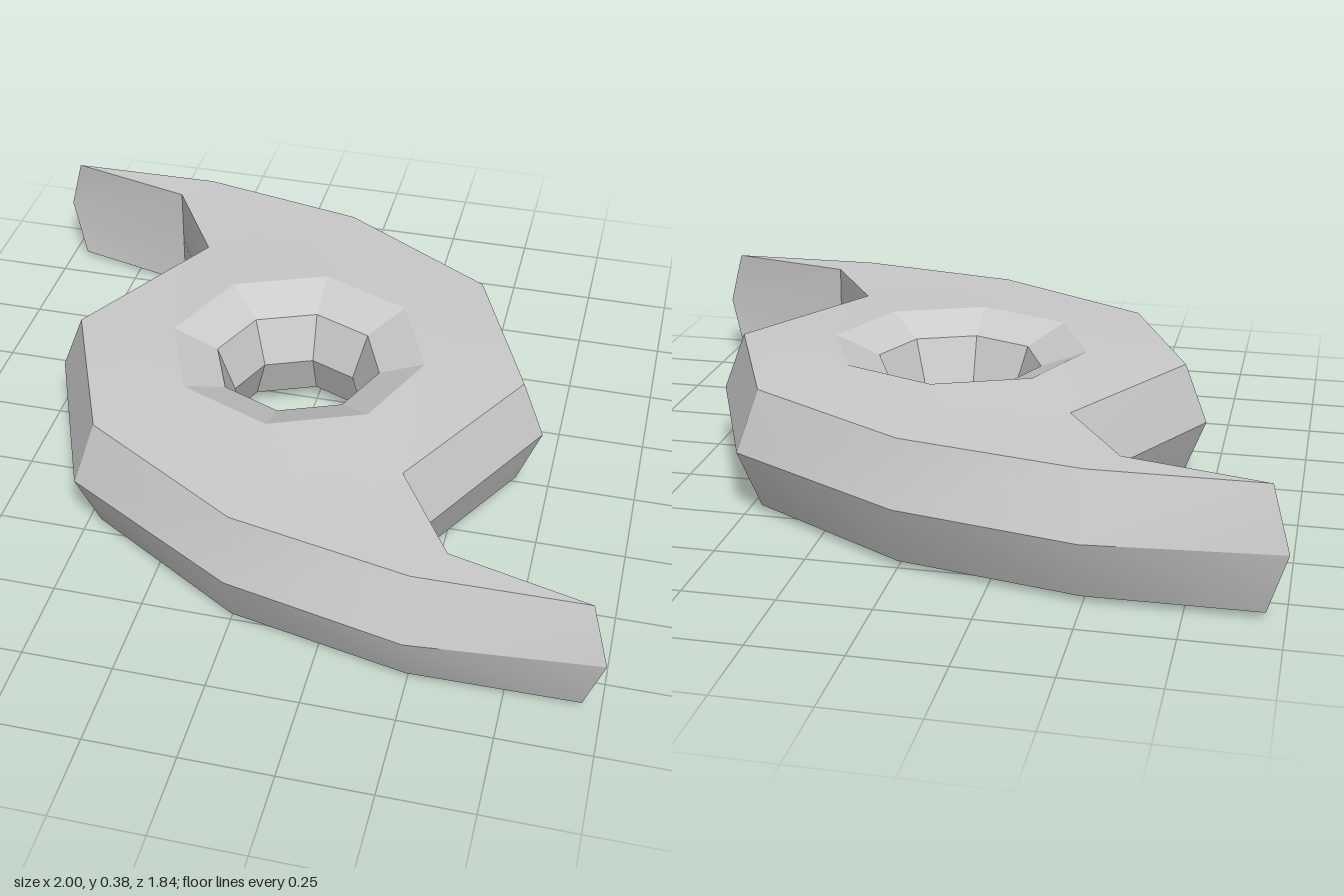
import * as THREE from 'three';
import { toCreasedNormals } from 'three/addons/utils/BufferGeometryUtils.js';

const MID = 0.1875, RIM = 0.17, CROWN = 0.1875;

// Half outlines [x, z], counter-clockwise from above; the other half is a half turn of these.
// Order: side, shoulder, back, hook bend, hook tip, hook inside, notch
const midHalf = [[0.72, 0], [0.51, -0.515], [0, -0.81], [-0.495, -0.92], [-1, -0.875], [-0.57, -0.745], [-0.445, -0.51]];
const rimHalf = [[0.655, 0], [0.46, -0.465], [0, -0.745], [-0.495, -0.85], [-0.95, -0.845], [-0.57, -0.745], [-0.4, -0.465]];

function loop(half, y) {
  const turned = half.map(([x, z]) => [-x, -z]);
  return [...half, ...turned].map(([x, z]) => new THREE.Vector3(x, y, z));
}

function bladeGeometry() {
  const points = [];
  const mid = loop(midHalf, MID);

  for (const s of [1, -1]) {
    // s = 1 builds the upper half, s = -1 the lower one with reversed corners
    const tri = (a, b, c) => points.push(...(s > 0 ? [a, b, c] : [a, c, b]));
    const quad = (a, b, c, d) => { tri(a, b, c); tri(a, c, d); };
    const rim = loop(rimHalf, MID + s * RIM);
    const n = rim.length;
    const ring = Array.from({ length: 8 }, (_, i) => {
      const a = i * Math.PI / 4;
      return new THREE.Vector3(0.37 * Math.cos(a), MID + s * CROWN, -0.37 * Math.sin(a));
    });

    // Bevelled side
    for (let i = 0; i < n; i++) {
      const j = (i + 1) % n;
      quad(mid[i], mid[j], rim[j], rim[i]);
    }
    // Face around the hole, skipping the hooks
    const body = [0, 1, 2, 6, 7, 8, 9, 13];
    for (let i = 0; i < 8; i++) {
      const j = (i + 1) % 8;
      quad(rim[body[i]], rim[body[j]], ring[j], ring[i]);
    }
    // Hook faces, fanned from the inner corner
    for (const k of [0, 7]) {
      tri(rim[k + 5], rim[k + 6], rim[k + 2]);
      tri(rim[k + 5], rim[k + 2], rim[k + 3]);
      tri(rim[k + 5], rim[k + 3], rim[k + 4]);
    }
  }
  const geometry = new THREE.BufferGeometry().setFromPoints(points);
  return toCreasedNormals(geometry, 0.35);
}

export function createModel() {
  const group = new THREE.Group();
  group.name = 'hookedThrowingStar';

  const blade = new THREE.Mesh(bladeGeometry(), new THREE.MeshStandardMaterial({ color: 0xcccccc }));
  blade.name = 'hookedBlade';

  // Dished octagonal hole, narrowest at mid height
  const profile = [[0.37, CROWN], [0.24, 0.135], [0.19, 0], [0.24, -0.135], [0.37, -CROWN]]
    .map(([r, y]) => new THREE.Vector2(r, MID + y));
  const hole = new THREE.Mesh(
    new THREE.LatheGeometry(profile, 8),
    new THREE.MeshStandardMaterial({ color: 0xcccccc, flatShading: true })
  );
  hole.name = 'centreHole';

  group.add(blade, hole);
  return group;
}
